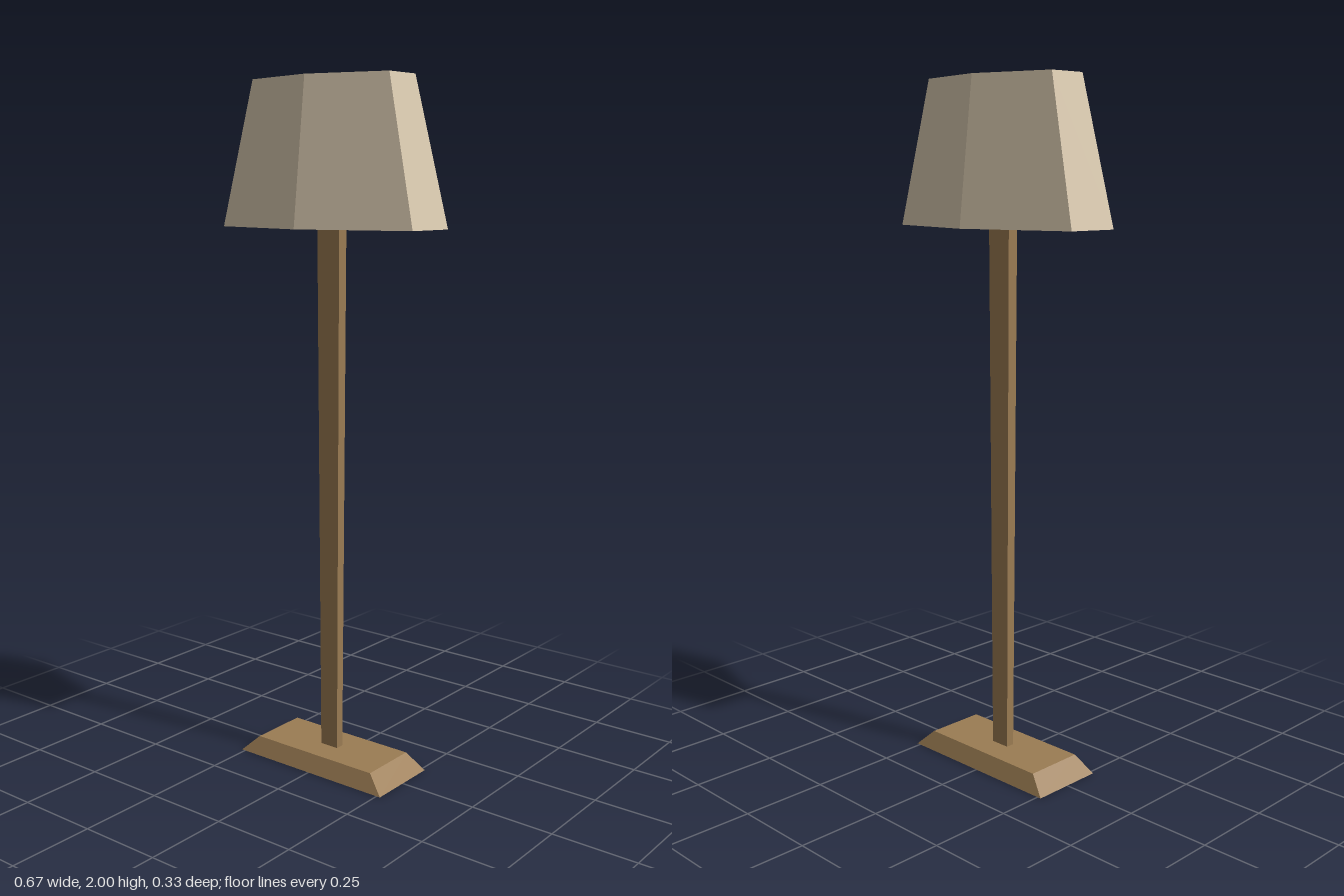
import * as THREE from 'three';

const wood = new THREE.MeshStandardMaterial({ color: 0x9b7c53 });
wood.name = 'wood';
const linen = new THREE.MeshStandardMaterial({ color: 0xd9c9af });
linen.name = 'linen';

// Box whose bottom and top have different half-sizes [x, z]
function taperedBox(name, bottom, top, y0, y1) {
  const geo = new THREE.BoxGeometry(2, 1, 2);
  const pos = geo.attributes.position;
  for (let i = 0; i < pos.count; i++) {
    const upper = pos.getY(i) > 0;
    const [hx, hz] = upper ? top : bottom;
    pos.setXYZ(i, pos.getX(i) * hx, upper ? y1 : y0, pos.getZ(i) * hz);
  }
  geo.computeVertexNormals();
  const mesh = new THREE.Mesh(geo, wood);
  mesh.name = name;
  return mesh;
}

// Thick hexagonal ring: sloping outside, straight hole, stretched along x
function hexShade() {
  const profile = [
    [0.086, 1.59], [0.167, 1.59], [0.119, 2], [0.086, 2], [0.086, 1.59],
  ].map(([r, y]) => new THREE.Vector2(r, y));
  const geo = new THREE.LatheGeometry(profile, 6).scale(2.3, 1, 1).toNonIndexed();
  geo.computeVertexNormals();
  const mesh = new THREE.Mesh(geo, linen);
  mesh.name = 'shade';
  return mesh;
}

export function createModel() {
  const lamp = new THREE.Group();
  lamp.name = 'floorLamp';
  lamp.add(
    taperedBox('base', [0.262, 0.113], [0.21, 0.09], 0, 0.05),
    taperedBox('pole', [0.03, 0.013], [0.04, 0.017], 0.05, 1.8),
    hexShade(),
  );
  return lamp;
}
